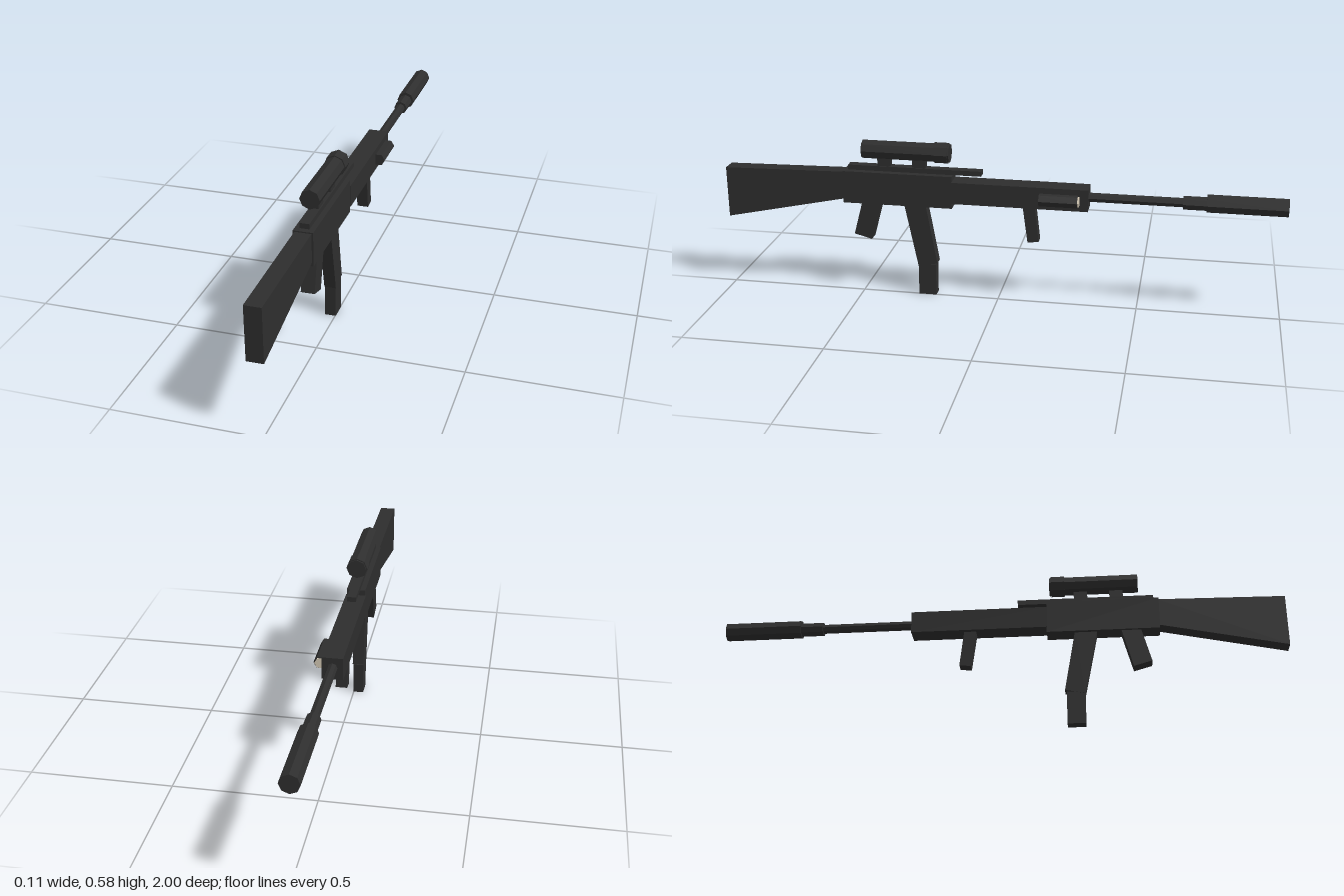
import * as THREE from 'three';

const CX = -0.017; // centre plane of the main body

export function createModel() {
  const group = new THREE.Group();
  const darkGrey = new THREE.MeshStandardMaterial({ color: 0x2e2e2e, flatShading: true });
  darkGrey.name = 'darkGrey';
  const paleLens = new THREE.MeshStandardMaterial({ color: 0xd6cbb6, flatShading: true });
  paleLens.name = 'paleLens';

  const add = (name, geometry, material = darkGrey) => {
    const mesh = new THREE.Mesh(geometry, material);
    mesh.name = name;
    group.add(mesh);
    return mesh;
  };

  // Side outline given as [z, y] points, extruded across x
  const slab = (name, width, points, cx = CX) => {
    const shape = new THREE.Shape(points.map(([z, y]) => new THREE.Vector2(z, y)));
    const g = new THREE.ExtrudeGeometry(shape, { depth: width, bevelEnabled: false });
    g.rotateY(-Math.PI / 2).translate(cx + width / 2, 0, 0);
    return add(name, g);
  };
  const block = (name, width, y0, y1, z0, z1) => {
    const g = new THREE.BoxGeometry(width, y1 - y0, z1 - z0);
    g.translate(CX, (y0 + y1) / 2, (z0 + z1) / 2);
    return add(name, g);
  };
  // Faceted rod running along z
  const rod = (name, r, y, z0, z1, { x = CX, sides = 8, turn = 0, material = darkGrey } = {}) => {
    const g = new THREE.CylinderGeometry(r, r, z1 - z0, sides);
    g.rotateY(turn).rotateX(Math.PI / 2).translate(x, y, (z0 + z1) / 2);
    return add(name, g, material);
  };

  // Body
  slab('stock', 0.056, [[1, 0.262], [1, 0.449], [0.555, 0.457], [0.555, 0.357]]);
  block('receiver', 0.067, 0.343, 0.461, 0.163, 0.56);
  block('handguard', 0.072, 0.362, 0.441, -0.32, 0.165);

  // Barrel
  rod('barrel', 0.017, 0.405, -0.66, -0.31);
  rod('barrelCollar', 0.025, 0.405, -0.73, -0.645);
  rod('muzzleTube', 0.033, 0.407, -1, -0.725);

  // Sight, mounts and rail
  block('rail', 0.032, 0.463, 0.481, 0.06, 0.543);
  for (const z of [0.412, 0.285]) block('scopeMount', 0.023, 0.478, 0.525, z - 0.024, z + 0.024);
  rod('scopeTube', 0.034, 0.538, 0.174, 0.49);
  rod('scopeBell', 0.038, 0.538, 0.18, 0.228);

  // Grips and magazine
  slab('rearGrip', 0.047, [[0.49, 0.36], [0.527, 0.222], [0.463, 0.204], [0.421, 0.36]]);
  slab('magazineUpper', 0.041, [[0.343, 0.36], [0.292, 0.11], [0.222, 0.124], [0.264, 0.36]]);
  block('magazineLower', 0.038, 0, 0.118, 0.228, 0.292);
  slab('foreGrip', 0.04, [[-0.087, 0.375], [-0.107, 0.228], [-0.147, 0.233], [-0.13, 0.375]]);

  // Side lamp
  const lamp = { x: 0.0305, sides: 6, turn: Math.PI / 6 };
  rod('lampBody', 0.0225, 0.401, -0.285, -0.15, lamp);
  rod('lampLens', 0.019, 0.401, -0.29, -0.284, { ...lamp, material: paleLens });

  return group;
}
